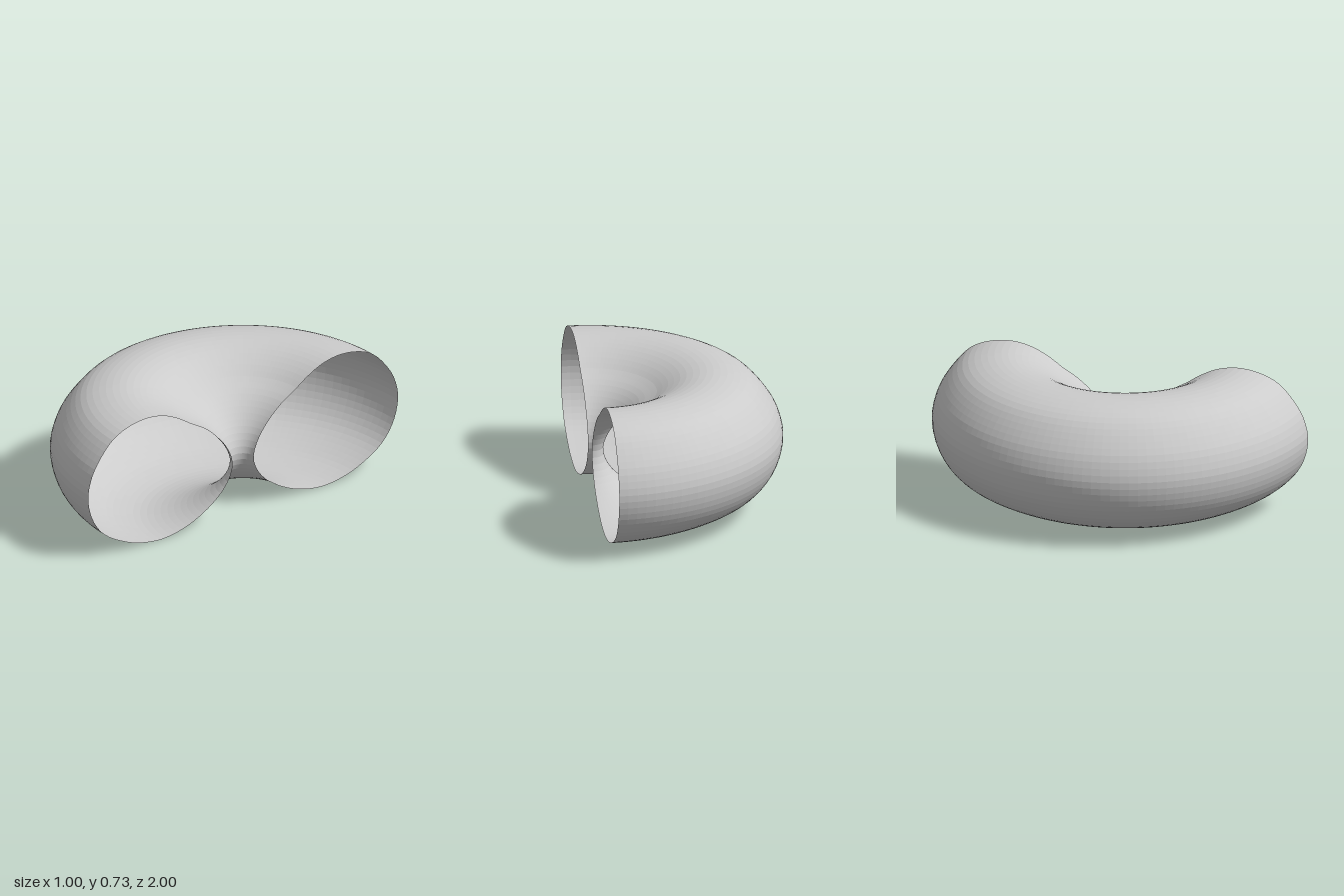
import * as THREE from 'three';

// Closed cross-section of the tube: [distance from the turning axis, height]
const SECTION = [
  [0.068, 0.31], [0.083, 0.238], [0.14, 0.158], [0.25, 0.078], [0.38, 0.024], [0.515, 0.002],
  [0.63, 0.014], [0.73, 0.043], [0.89, 0.133], [0.97, 0.243], [1.0, 0.375], [0.98, 0.477],
  [0.943, 0.55], [0.84, 0.666], [0.73, 0.714], [0.61, 0.727], [0.5, 0.705], [0.4, 0.655],
  [0.345, 0.617], [0.25, 0.56], [0.17, 0.49], [0.1, 0.4],
];

export function createModel() {
  const group = new THREE.Group();
  group.name = 'halfRing';

  // Smooth the section into a closed loop
  const curve = new THREE.CatmullRomCurve3(
    SECTION.map(([r, y]) => new THREE.Vector3(r, y, 0)), true, 'centripetal');
  const profile = curve.getSpacedPoints(72).map((p) => new THREE.Vector2(p.x, p.y));

  // Hollow open-ended tube, swept half a turn about its vertical axis
  const tube = new THREE.Mesh(
    new THREE.LatheGeometry(profile, 64, Math.PI, Math.PI),
    new THREE.MeshStandardMaterial({ color: 0xcccccc, flatShading: true, side: THREE.DoubleSide }));
  tube.name = 'curvedTube';
  tube.position.x = 0.5;
  group.add(tube);

  return group;
}
